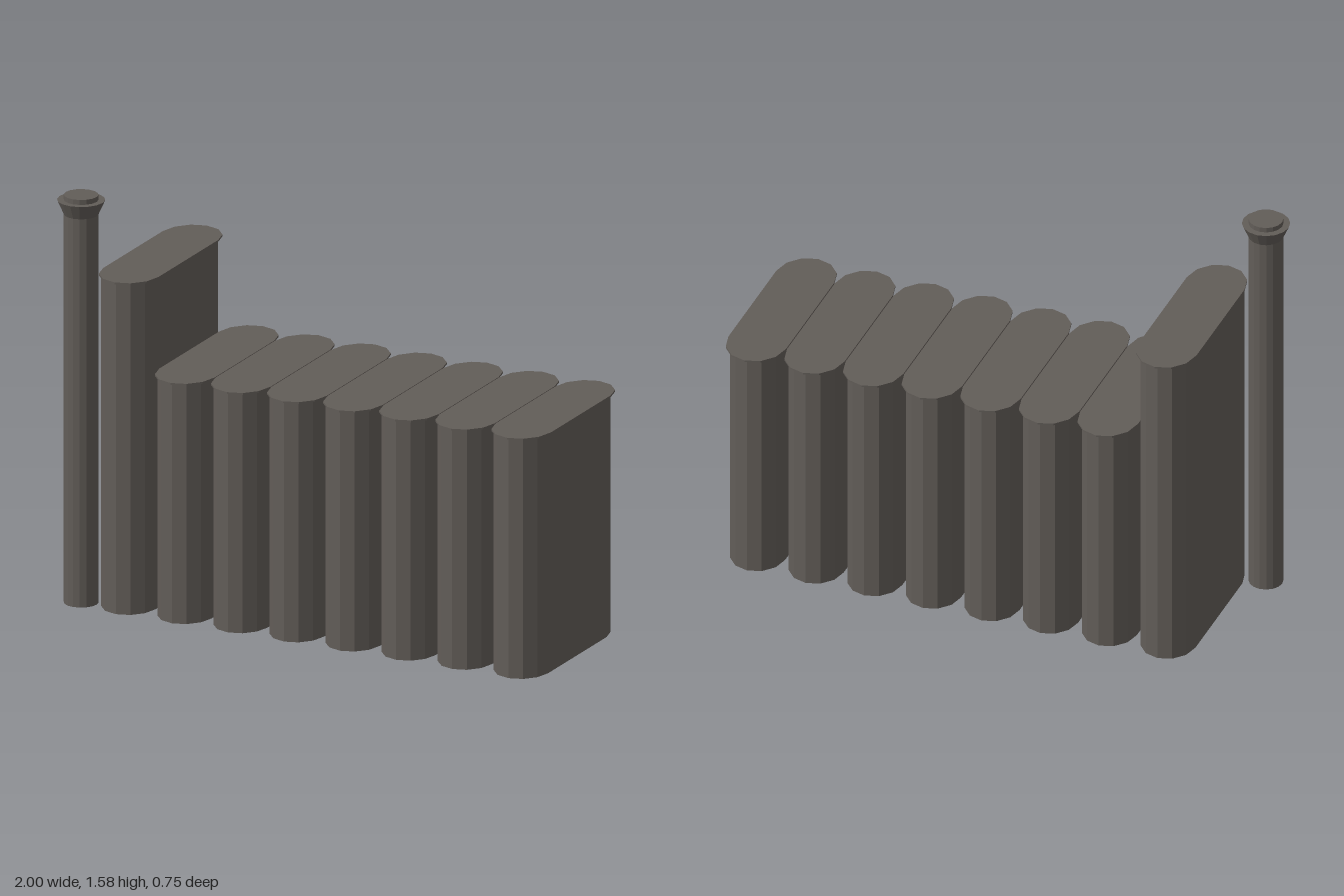
import * as THREE from 'three';

// Stadium outline: straight sides and six-sided elliptical ends (shape y becomes -z)
function pillShape(halfWidth, straight, depth) {
  const points = [];
  for (const side of [1, -1]) {
    for (let i = 0; i <= 6; i++) {
      const a = (i / 6) * Math.PI;
      points.push(new THREE.Vector2(side * halfWidth * Math.cos(a), side * (straight + depth * Math.sin(a))));
    }
  }
  return new THREE.Shape(points);
}

// Upright prism of a shape between two heights
function prism(shape, bottom, top) {
  const geometry = new THREE.ExtrudeGeometry(shape, { depth: top - bottom, bevelEnabled: false });
  geometry.rotateX(-Math.PI / 2);
  geometry.translate(0, bottom, 0);
  return geometry;
}

export function createModel() {
  const model = new THREE.Group();
  const concrete = new THREE.MeshStandardMaterial({ color: 0x625d58, flatShading: true });
  concrete.name = 'dark concrete';

  const add = (parent, name, geometry, x = 0, y = 0, z = 0) => {
    const mesh = new THREE.Mesh(geometry, concrete);
    mesh.name = name;
    mesh.position.set(x, y, z);
    parent.add(mesh);
  };

  // Row of silos, the first one taller, each with a thin overhanging lid
  const bodyShape = pillShape(0.104, 0.235, 0.117);
  const lidShape = pillShape(0.114, 0.24, 0.13);
  for (let i = 0; i < 8; i++) {
    const height = i === 0 ? 1.287 : 0.933;
    const silo = new THREE.Group();
    silo.name = i === 0 ? 'tallSilo' : `silo${i}`;
    silo.position.x = -0.734 + i * 0.2314;
    add(silo, 'siloBody', prism(bodyShape, 0, height - 0.007), 0, 0, 0.003);
    add(silo, 'siloLid', prism(lidShape, height - 0.007, height), 0, 0, -0.006);
    model.add(silo);
  }

  // Chimney with flared collar and top plug
  const chimney = new THREE.Group();
  chimney.name = 'chimney';
  chimney.position.set(-0.911, 0, 0.289);
  add(chimney, 'chimneyPipe', new THREE.CylinderGeometry(0.064, 0.064, 1.505, 16), 0, 0.7525, 0);
  add(chimney, 'chimneyCollar', new THREE.CylinderGeometry(0.089, 0.064, 0.056, 16), 0, 1.531, 0);
  add(chimney, 'chimneyPlug', new THREE.CylinderGeometry(0.064, 0.064, 0.02, 16), 0, 1.568, 0);
  model.add(chimney);

  return model;
}
